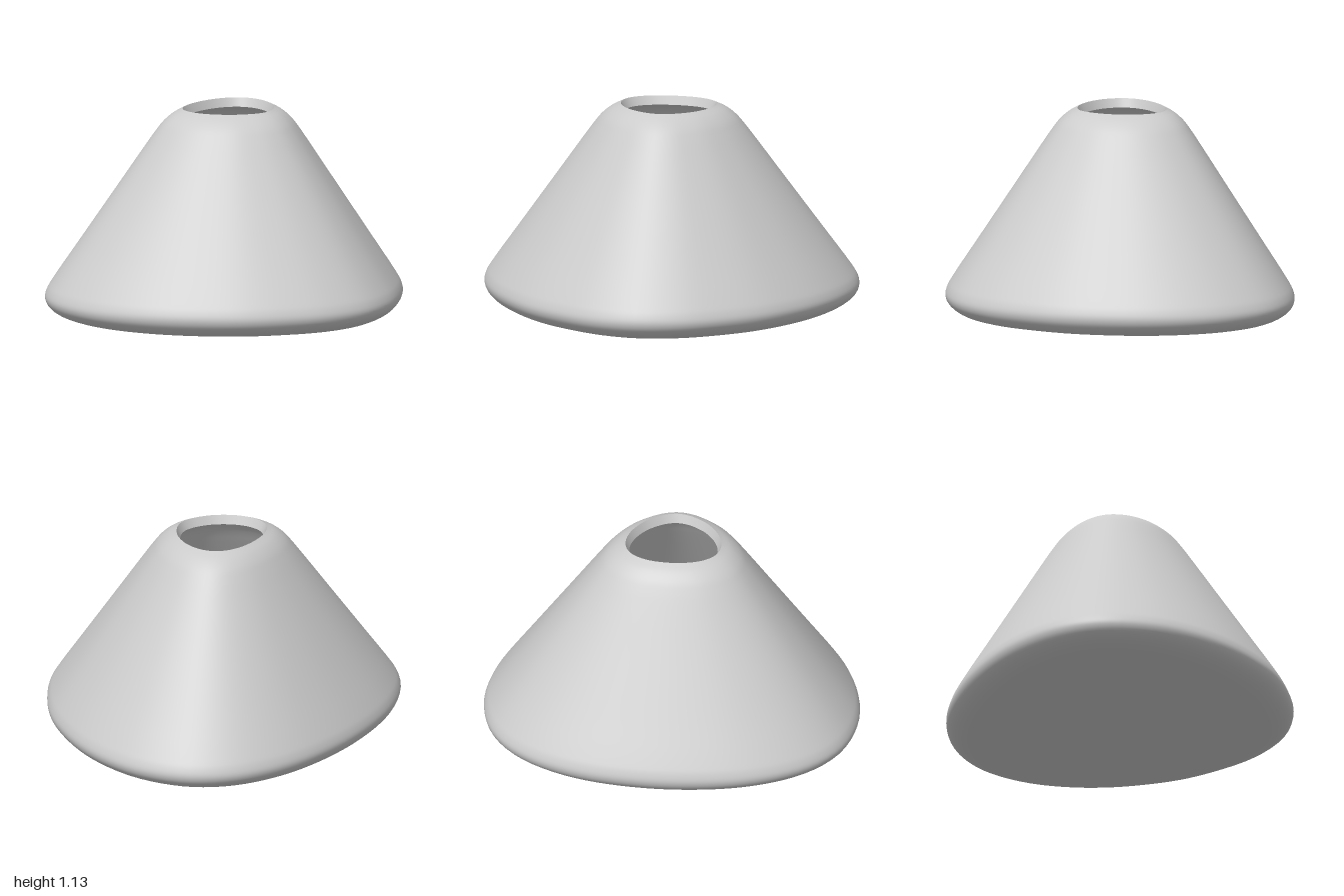
import * as THREE from 'three';
import { mergeVertices } from 'three/addons/utils/BufferGeometryUtils.js';

const SEGMENTS = 96;
const CENTRE = -0.067; // x of the axis the outline shrinks towards

// Half of the rounded-triangle outline (x, z), mirrored into a closed loop
const half = [
  [0.907, 0], [0.86, -0.235], [0.745, -0.447], [0.59, -0.643], [0.4, -0.796],
  [0.205, -0.907], [-0.01, -0.978], [-0.22, -1], [-0.44, -0.96], [-0.58, -0.885],
  [-0.7, -0.765], [-0.8, -0.59], [-0.872, -0.36], [-0.907, 0],
];
const mirrored = half.slice(1, -1).reverse().map(([x, z]) => [x, -z]);
const outline = new THREE.CatmullRomCurve3(
  [...half, ...mirrored].map(([x, z]) => new THREE.Vector3(x, 0, z)), true,
).getSpacedPoints(SEGMENTS);

// Smooth profile of (outline scale, height)
function smoothProfile(points, count) {
  const curve = new THREE.CatmullRomCurve3(points.map(([s, y]) => new THREE.Vector3(s, y, 0)));
  return curve.getPoints(count).map((p) => new THREE.Vector2(Math.max(p.x, 0), p.y));
}

// A lathe whose rings are reshaped to the outline
function surface(name, profile, material) {
  const geometry = new THREE.LatheGeometry(profile, SEGMENTS);
  const pos = geometry.attributes.position;
  for (let k = 0; k < pos.count; k++) {
    const ring = profile[k % profile.length];
    const o = outline[Math.floor(k / profile.length) % SEGMENTS];
    pos.setXYZ(k, CENTRE + ring.x * (o.x - CENTRE), ring.y, ring.x * o.z);
  }
  geometry.deleteAttribute('uv');
  geometry.deleteAttribute('normal');
  const merged = mergeVertices(geometry, 1e-5);
  merged.computeVertexNormals();
  const mesh = new THREE.Mesh(merged, material);
  mesh.name = name;
  return mesh;
}

export function createModel() {
  const group = new THREE.Group();
  group.name = 'vase';
  const material = new THREE.MeshStandardMaterial({ color: 0xcccccc, side: THREE.DoubleSide });

  // Slightly domed base, rounded foot, sloping wall and rounded shoulder
  const outer = smoothProfile([
    [0, 0], [0.3, 0.005], [0.6, 0.018], [0.8, 0.034], [0.89, 0.05], [0.955, 0.08],
    [0.99, 0.115], [1, 0.15], [0.988, 0.19], [0.96, 0.235], [0.82, 0.432], [0.6, 0.741],
    [0.45, 0.952], [0.4, 1.02], [0.36, 1.068], [0.31, 1.108], [0.255, 1.135],
  ], 64);

  // Bevelled lip joining the outer and inner walls
  const lip = [new THREE.Vector2(0.255, 1.135), new THREE.Vector2(0.235, 1.088)];

  // Hollow inside, following the wall from the mouth down to the floor
  const inner = smoothProfile([
    [0.235, 1.088], [0.28, 1.066], [0.325, 1.03], [0.36, 0.988], [0.41, 0.918],
    [0.6, 0.652], [0.8, 0.371], [0.91, 0.215], [0.938, 0.155], [0.915, 0.115],
    [0.85, 0.09], [0.6, 0.068], [0.3, 0.055], [0, 0.05],
  ], 52);

  group.add(
    surface('outerWall', outer, material),
    surface('lip', lip, material),
    surface('innerWall', inner, material),
  );
  return group;
}
